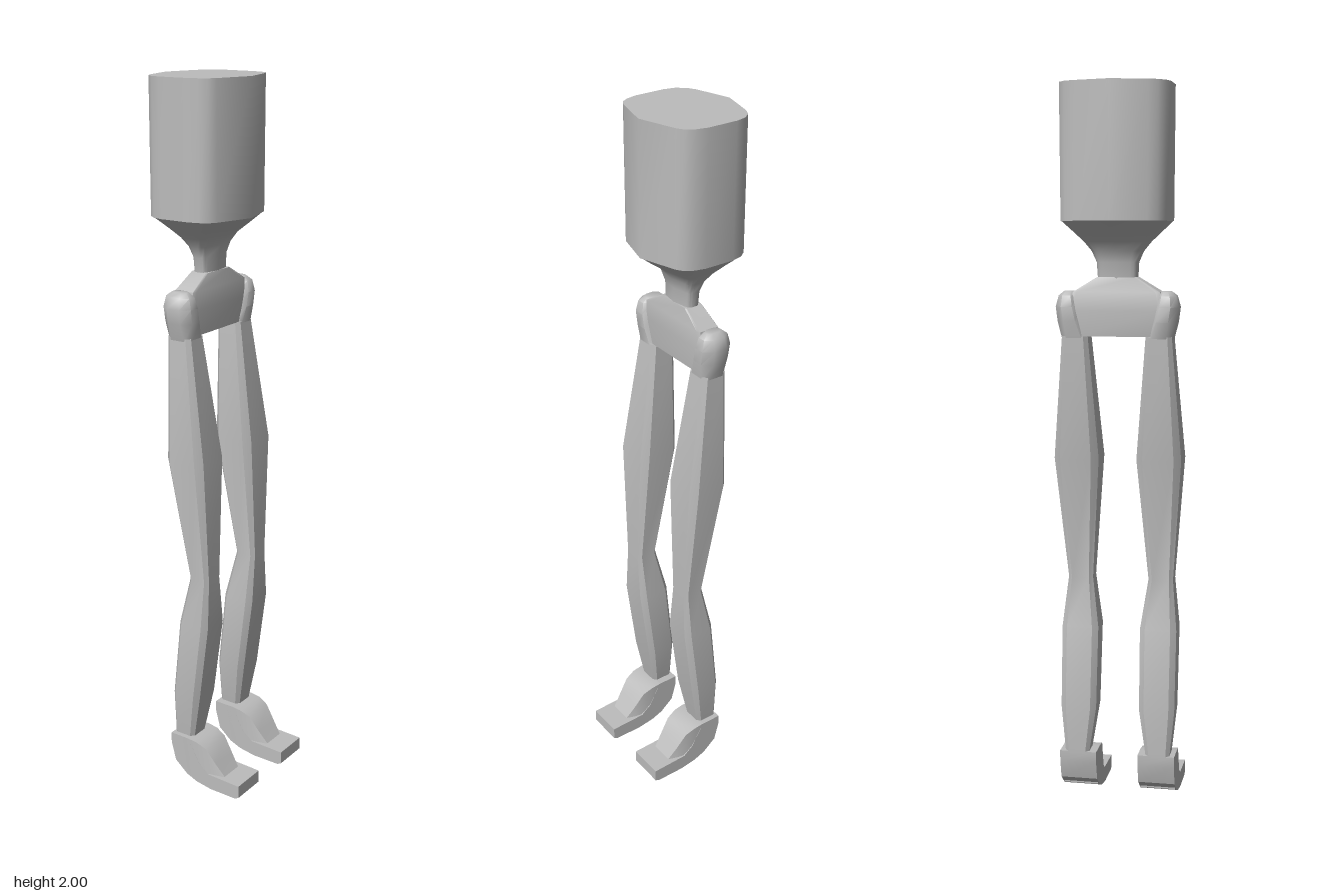
import * as THREE from 'three';
import { toCreasedNormals } from 'three/addons/utils/BufferGeometryUtils.js';

// Skin a list of equal-length rings (counter-clockwise seen from the end) and cap both ends
function loft(rings, crease = 0.6) {
  const pos = [];
  const tri = (a, b, c) => pos.push(...a, ...b, ...c);
  const n = rings[0].length;
  for (let r = 0; r < rings.length - 1; r++) {
    const a = rings[r], b = rings[r + 1];
    for (let i = 0; i < n; i++) {
      const j = (i + 1) % n;
      tri(a[i], a[j], b[j]);
      tri(a[i], b[j], b[i]);
    }
  }
  const first = rings[0], last = rings[rings.length - 1];
  for (let i = 1; i < n - 1; i++) {
    tri(first[0], first[i + 1], first[i]);
    tri(last[0], last[i], last[i + 1]);
  }
  const g = new THREE.BufferGeometry();
  g.setAttribute('position', new THREE.Float32BufferAttribute(pos, 3));
  return toCreasedNormals(g, crease);
}

// Horizontal rectangle with chamfered corners
function boxRing([y, x0, x1, z0, z1, k = 0.15]) {
  const cx = (x1 - x0) * k, cz = (z1 - z0) * k;
  return [
    [x1, z1 - cz], [x1, z0 + cz], [x1 - cx, z0], [x0 + cx, z0],
    [x0, z0 + cz], [x0, z1 - cz], [x0 + cx, z1], [x1 - cx, z1],
  ].map(([x, z]) => [x, y, z]);
}

// Head outline, right half from front point to back point, then mirrored
const half = [[0, 0.097], [0.11, 0.065], [0.13, 0.053], [0.143, 0.03], [0.15, 0],
  [0.15, -0.085], [0.143, -0.115], [0.125, -0.138], [0.1, -0.151], [0, -0.178]];
const outline = [...half, ...half.slice(1, -1).reverse().map(([x, z]) => [-x, z])];

// Head outline squeezed to a half width and a depth range
function headRing([y, w, z0, z1]) {
  return outline.map(([x, z]) => [x * w / 0.15, y, z0 + (z + 0.178) / 0.275 * (z1 - z0)]);
}

export function createModel() {
  const model = new THREE.Group();
  const grey = new THREE.MeshStandardMaterial({ color: 0xbcbcbc });
  grey.name = 'grey';
  const add = (name, geometry, parent = model) => {
    const mesh = new THREE.Mesh(geometry, grey);
    mesh.name = name;
    parent.add(mesh);
    return mesh;
  };

  // Head block with flat top
  add('head', loft([[1.64, 0.148, -0.178, 0.097], [2, 0.15, -0.178, 0.097]].map(headRing)));

  // Neck flaring up into the head
  add('neck', loft([
    [1.48, 0.054, -0.06, -0.008], [1.53, 0.057, -0.064, -0.007],
    [1.56, 0.07, -0.075, 0.002], [1.585, 0.09, -0.095, 0.02],
    [1.61, 0.115, -0.13, 0.055], [1.642, 0.148, -0.178, 0.097],
  ].map(headRing), 0.8));

  // Bar joining the hips
  add('pelvis', loft([
    [1.33, -0.11, 0.11, -0.068, -0.003, 0.05], [1.4, -0.13, 0.13, -0.072, 0, 0.05],
    [1.45, -0.12, 0.12, -0.066, -0.002, 0.05], [1.49, -0.054, 0.054, -0.06, -0.008, 0.05],
  ].map(boxRing)));

  for (const s of [-1, 1]) {
    const leg = new THREE.Group();
    leg.name = s > 0 ? 'leftLeg' : 'rightLeg';
    model.add(leg);
    const ring = ([y, a, b, ...rest]) =>
      boxRing([y, Math.min(s * a, s * b), Math.max(s * a, s * b), ...rest]);

    // Rounded hip joint
    add('hip', loft([
      [1.32, 0.08, 0.152, -0.07, 0.003, 0.2], [1.37, 0.09, 0.165, -0.079, 0.009, 0.28],
      [1.41, 0.1, 0.17, -0.08, 0.01, 0.28], [1.44, 0.11, 0.162, -0.073, 0.003, 0.28],
      [1.452, 0.12, 0.148, -0.058, -0.012, 0.28],
    ].map(ring), 0.9), leg);

    // Thigh, knee and calf in one limb
    add('limb', loft([
      [0.135, 0.082, 0.15, -0.06, 0.005], [0.27, 0.062, 0.163, -0.06, 0.03],
      [0.5, 0.06, 0.164, -0.036, 0.06], [0.64, 0.08, 0.15, -0.005, 0.058],
      [0.99, 0.053, 0.178, -0.064, 0.055], [1.33, 0.08, 0.152, -0.071, 0.003],
    ].map(ring)), leg);

    // Foot: curved heel and flat toe plate
    const profile = new THREE.Shape([
      [-0.177, 0.006], [-0.165, 0], [-0.08, 0], [-0.03, 0.008], [0.005, 0.022], [0.045, 0.055],
      [0.06, 0.11], [0.06, 0.14], [0, 0.14], [-0.04, 0.07], [-0.07, 0.046], [-0.177, 0.043],
    ].map(([x, y]) => new THREE.Vector2(x, y)));
    const foot = new THREE.ExtrudeGeometry(profile, { depth: 0.105, bevelEnabled: false });
    foot.translate(0, 0, -0.0525).rotateY(Math.PI / 2).translate(s * 0.1125, 0, 0);
    add('foot', toCreasedNormals(foot, 0.6), leg);

    // Instep narrowing towards the toes
    const instep = [[-0.02, 0.14, 0.0525, 0.05], [0, 0.14, 0.0525, 0.0525], [0.03, 0.136, 0.0515, 0.0525],
      [0.06, 0.122, 0.047, 0.0525], [0.09, 0.08, 0.041, 0.046], [0.118, 0.043, 0.034, 0.038]];
    add('instep', loft(instep.map(([z, y, top, base]) => [
      [base, 0.03], [top, y], [-top, y], [-base, 0.03],
    ].map(([x, h]) => [s * 0.1125 + x, h, z]))), leg);
  }
  return model;
}
